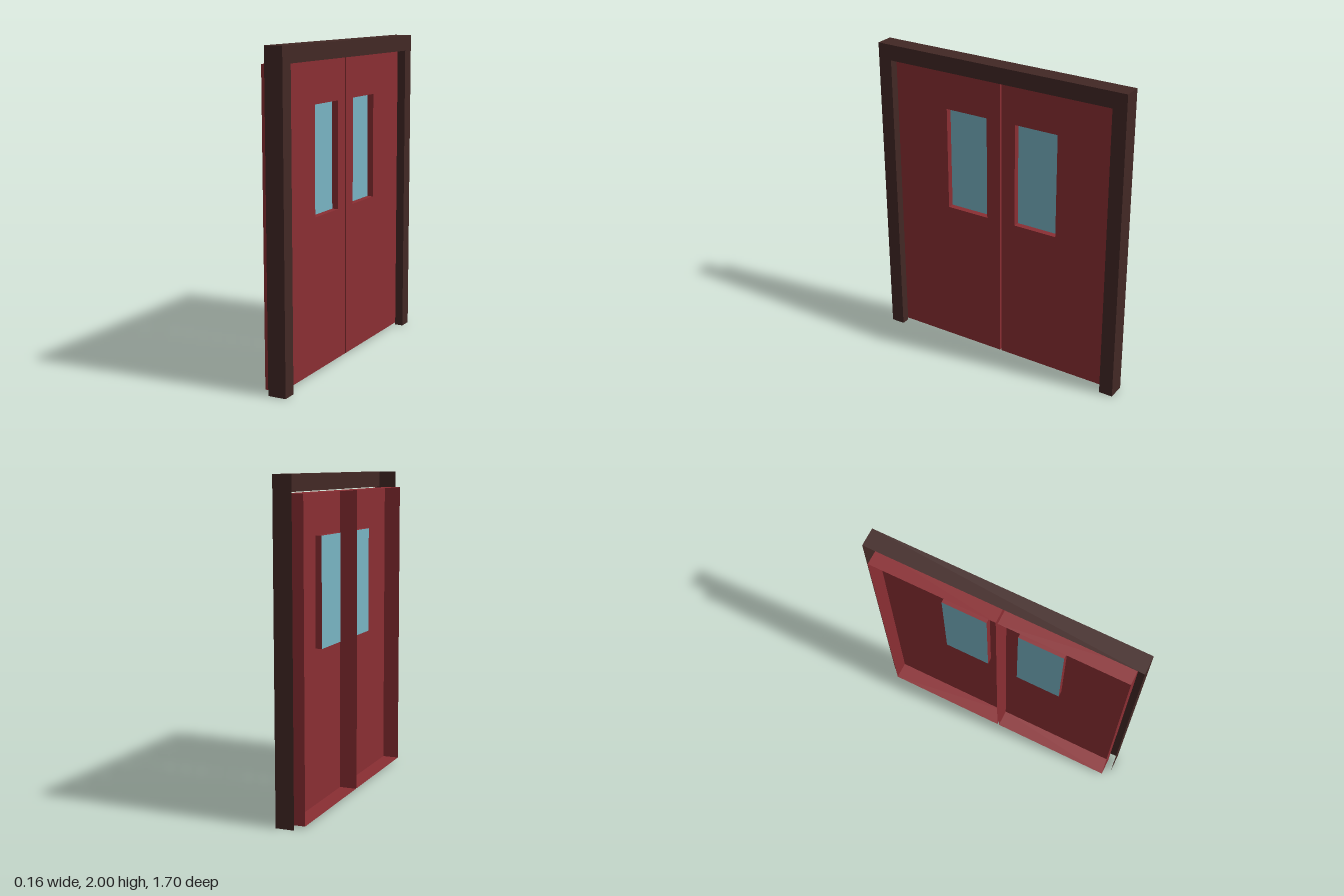
import * as THREE from 'three';
import { mergeGeometries } from 'three/addons/utils/BufferGeometryUtils.js';

const material = (color) => new THREE.MeshStandardMaterial({ color, side: THREE.DoubleSide, flatShading: true });

const rect = (x0, x1, y0, y1) => [[x0, y0], [x0, y1], [x1, y1], [x1, y0]];
const vectors = (points) => points.map(([x, y]) => new THREE.Vector2(x, y));

// flat sheet at depth z, with an optional hole
function sheet(points, z, hole) {
  const shape = new THREE.Shape(vectors(points));
  if (hole) shape.holes.push(new THREE.Path(vectors(hole)));
  return new THREE.ShapeGeometry(shape).translate(0, 0, z).toNonIndexed();
}

// thin walls that run along a path, from depth z0 to depth z1
function walls(points, z0, z1) {
  const parts = [];
  for (let i = 0; i < points.length - 1; i++) {
    const [ax, ay] = points[i], [bx, by] = points[i + 1];
    const wall = new THREE.PlaneGeometry(Math.hypot(bx - ax, by - ay), Math.abs(z1 - z0));
    wall.rotateX(Math.PI / 2).rotateZ(Math.atan2(by - ay, bx - ax));
    wall.translate((ax + bx) / 2, (ay + by) / 2, (z0 + z1) / 2);
    parts.push(wall.toNonIndexed());
  }
  return mergeGeometries(parts);
}

const closed = (points) => [...points, points[0]];

function mesh(name, parts, mat) {
  const m = new THREE.Mesh(mergeGeometries(parts), mat);
  m.name = name;
  return m;
}

export function createModel() {
  const frameMat = material(0x422825);
  const doorMat = material(0x8a2e33);
  const glassMat = material(0x78b4c3);

  const frameFront = 0.08, frameBack = -0.035;
  const panelDepth = 0.025, doorBack = -0.083, glassDepth = -0.015;

  // drawn facing local +z, then turned to face +x
  const model = new THREE.Group();
  model.name = 'doubleDoor';
  const body = new THREE.Group();
  body.name = 'doorSet';
  body.rotation.y = Math.PI / 2;
  model.add(body);

  // door frame: hollow casing, open at the back and at the feet
  const outer = [[-0.85, 0], [-0.85, 2], [0.85, 2], [0.85, 0]];
  const inner = [[0.76, 0], [0.76, 1.9], [-0.76, 1.9], [-0.76, 0]];
  body.add(mesh('frame', [
    sheet([...outer, ...inner], frameFront),
    walls(outer, frameFront, frameBack),
    walls(inner, frameFront, panelDepth),
  ], frameMat));

  // two mirrored door leaves, each an open-backed tray with a recessed window
  for (const side of [-1, 1]) {
    const leaf = new THREE.Group();
    leaf.name = side < 0 ? 'leftLeaf' : 'rightLeaf';
    const outline = rect(side * 0.006, side * 0.803, 0.015, 1.895);
    const opening = rect(side * 0.1, side * 0.39, 0.97, 1.64);
    leaf.add(
      mesh('doorPanel', [sheet(outline, panelDepth, opening)], doorMat),
      mesh('doorRim', [walls(closed(outline), panelDepth, doorBack)], doorMat),
      mesh('windowReveal', [walls(closed(opening), panelDepth, glassDepth)], doorMat),
      mesh('windowGlass', [sheet(opening, glassDepth)], glassMat),
    );
    body.add(leaf);
  }
  return model;
}
